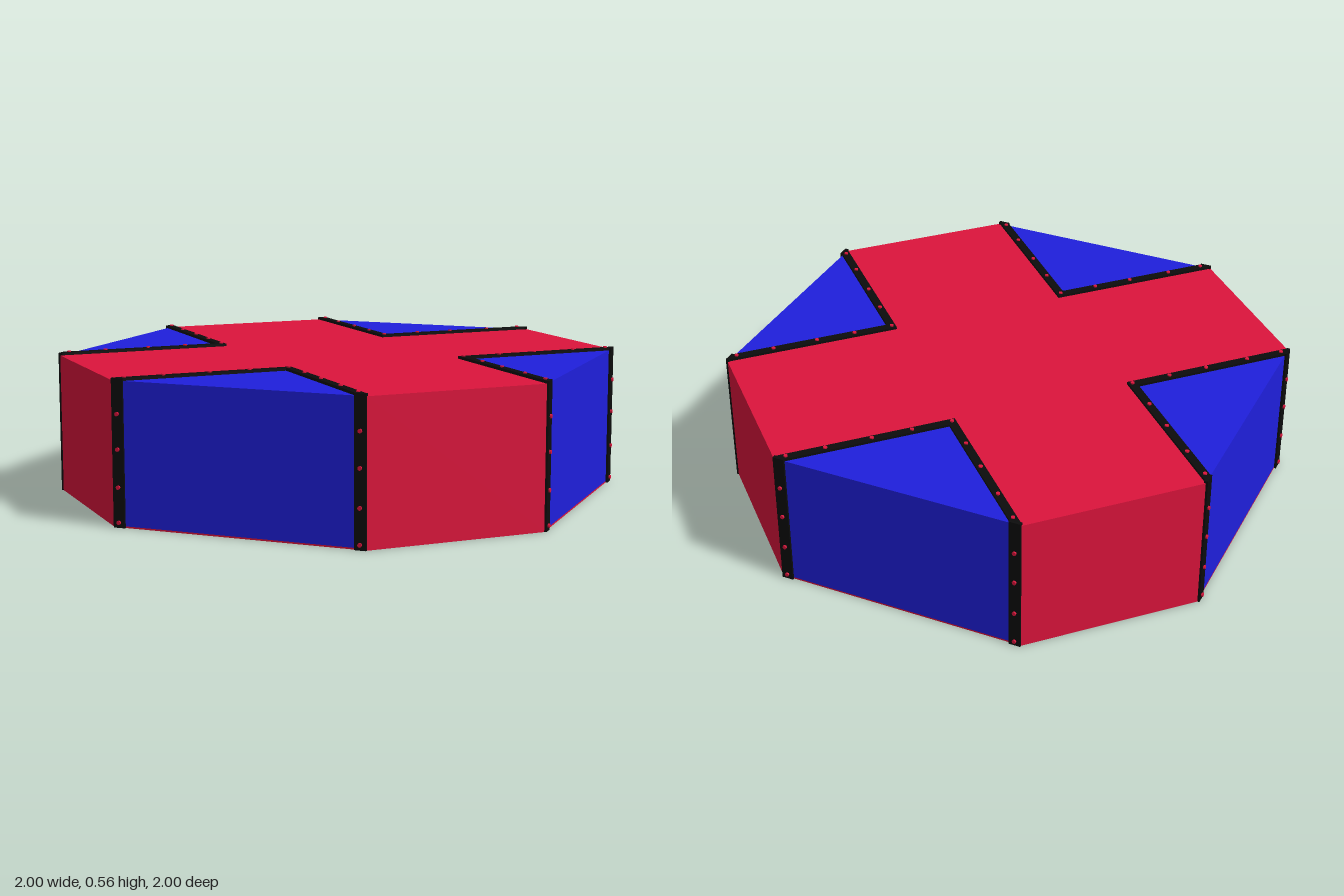
import * as THREE from 'three';

const R = 0.985;   // distance from centre to the long faces
const C = 0.49;    // half width of the long faces
const H = 0.54;    // body height
const W = 0.045;   // trim width measured along the face
const BASE = 0.006;

const red = new THREE.MeshStandardMaterial({ color: 0xdc143c });
const blue = new THREE.MeshStandardMaterial({ color: 0x1f1fdc });
const black = new THREE.MeshStandardMaterial({ color: 0x0c0c0c });

// Extrudes an [x, z] outline vertically between two heights.
function prism(name, outline, y0, y1, material) {
  const shape = new THREE.Shape(outline.map(([x, z]) => new THREE.Vector2(x, z)));
  const geometry = new THREE.ExtrudeGeometry(shape, { depth: y1 - y0, bevelEnabled: false });
  geometry.rotateX(Math.PI / 2).translate(0, y1, 0);
  const mesh = new THREE.Mesh(geometry, material);
  mesh.name = name;
  return mesh;
}

// Repeats a list of [x, z] points around the four sides.
function fourfold(points) {
  const all = [];
  for (let i = 0; i < 4; i++) {
    for (let [x, z] of points) {
      for (let k = 0; k < i; k++) [x, z] = [z, -x];
      all.push([x, z]);
    }
  }
  return all;
}

function rivet(x, y, z, facesFront) {
  const mesh = new THREE.Mesh(new THREE.CylinderGeometry(0.008, 0.008, 0.016, 8), red);
  mesh.name = 'rivet';
  mesh.position.set(x, y, z);
  if (facesFront) mesh.rotation.x = Math.PI / 2;
  return mesh;
}

// One side: blue wedge, V-shaped top trim, two corner strips and rivets.
function createSide() {
  const side = new THREE.Group();
  side.name = 'side';
  const apex = R - C;

  side.add(prism('blueWedge', [[-C, R], [0, apex], [C, R]], BASE, H, blue));
  side.add(prism('topTrim', [
    [0, apex], [C, R], [C - W, R], [0, apex + W], [-C + W, R], [-C, R],
  ], H - 0.005, H + 0.01, black));

  for (const s of [-1, 1]) {
    const strip = new THREE.Mesh(new THREE.BoxGeometry(W, H + 0.01, 0.015), black);
    strip.name = 'cornerStrip';
    strip.position.set(s * (C - W / 2), (H + 0.01) / 2, R + 0.0005);
    side.add(strip);

    for (const y of [0.02, 0.15, 0.29, 0.42]) {
      side.add(rivet(s * (C - W / 2), y, 0.992, true));
    }
    for (const x of [0.11, 0.22, 0.345, 0.45]) {
      side.add(rivet(s * x, H + 0.007, x + apex + W / 2, false));
    }
  }
  side.add(rivet(0, H + 0.007, apex + W / 2, false));
  return side;
}

export function createModel() {
  const model = new THREE.Group();
  model.name = 'octagonalPlatform';

  // Red floor and cross-shaped core
  model.add(prism('floor', fourfold([[-C, R], [C, R]]), 0, BASE, red));
  model.add(prism('redCross', fourfold([[-C, R], [0, R - C], [C, R]]), BASE, H, red));

  // Four identical sides
  for (let i = 0; i < 4; i++) {
    const side = createSide();
    side.rotation.y = i * Math.PI / 2;
    model.add(side);
  }
  return model;
}
